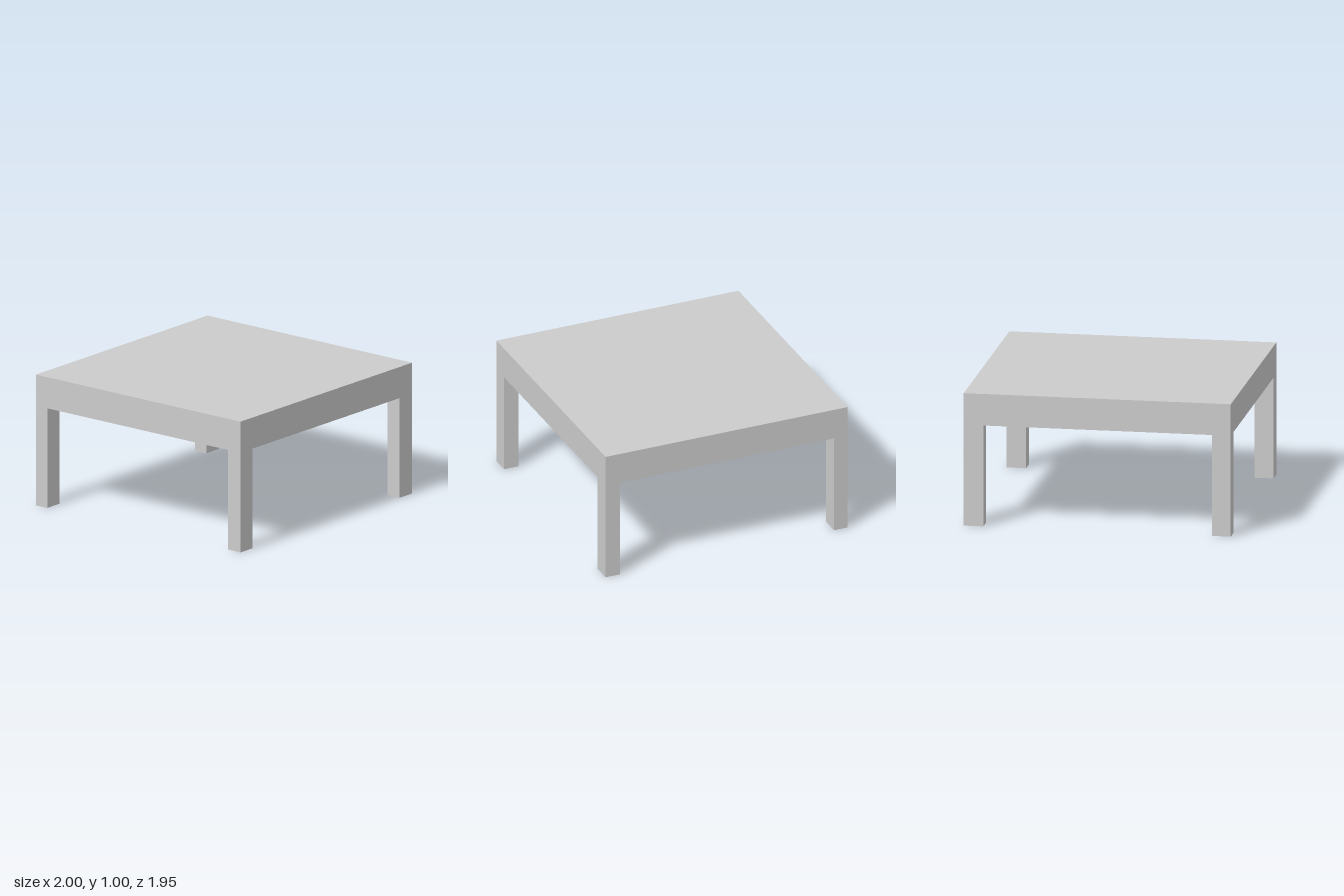
import * as THREE from 'three';

export function createModel() {
  const table = new THREE.Group();
  table.name = 'table';
  const material = new THREE.MeshStandardMaterial({ color: 0xcccccc, flatShading: true });
  const halfX = 1, halfZ = 0.975, height = 1.005, underside = 0.766;

  // Box given by its minimum and maximum corners
  function addBox(name, min, max) {
    const size = max.map((v, i) => v - min[i]);
    const mesh = new THREE.Mesh(new THREE.BoxGeometry(...size), material);
    mesh.position.set(...max.map((v, i) => (v + min[i]) / 2));
    mesh.name = name;
    table.add(mesh);
  }

  // Thick solid top
  addBox('tableTop', [-halfX, underside, -halfZ], [halfX, height, halfZ]);

  // Legs flush with the corners, the front pair slightly deeper
  const sidesX = [['Left', halfX - 0.147, halfX], ['Right', -halfX, -halfX + 0.142]];
  const sidesZ = [['front', halfZ - 0.117, halfZ], ['back', -halfZ, -halfZ + 0.109]];
  for (const [sideX, x0, x1] of sidesX) {
    for (const [sideZ, z0, z1] of sidesZ) {
      addBox(`${sideZ}${sideX}Leg`, [x0, 0, z0], [x1, underside, z1]);
    }
  }
  return table;
}
